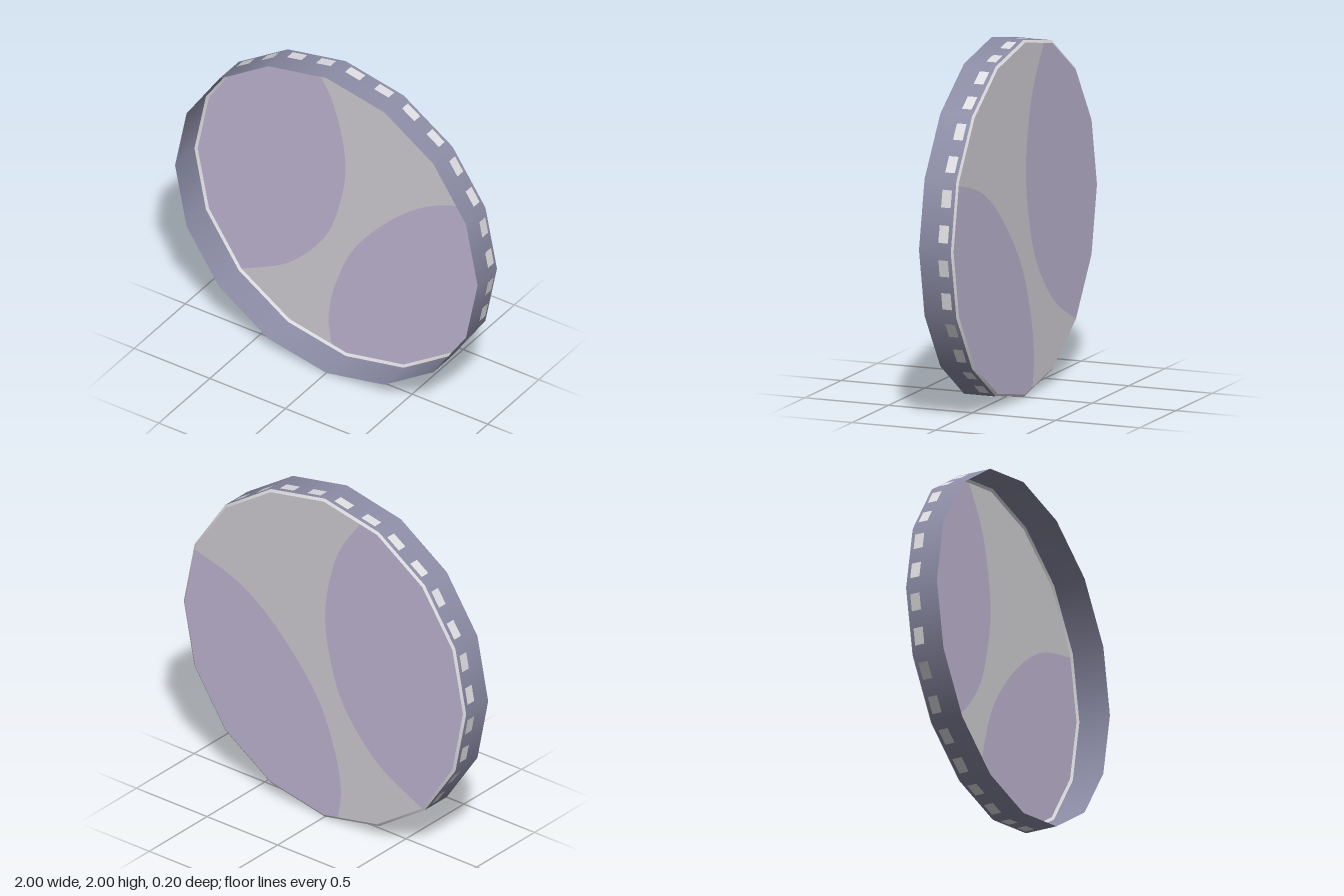
import * as THREE from 'three';

const SIDES = 16;
const SKIN_R = 0.985;
const BACK = -0.1;

const material = (name, color) =>
  new THREE.MeshStandardMaterial({ name, color, side: THREE.DoubleSide });

// point on the polygonal rim; k counts corners anticlockwise, fractions lie along an edge
function rim(k) {
  const corner = (i) => {
    const a = (i / SIDES) * Math.PI * 2;
    return new THREE.Vector2(Math.cos(a) * SKIN_R, Math.sin(a) * SKIN_R);
  };
  const i = Math.floor(k);
  return corner(i).lerp(corner(i + 1), k - i);
}

const rims = (...ks) => ks.map(rim);

// smooth boundary across the skin between two rim points (heights given from the ground)
function boundary(from, points, to) {
  const inner = points.map(([x, y]) => new THREE.Vector2(x, y - 1));
  return new THREE.SplineCurve([rim(from), ...inner, rim(to)]).getPoints(40);
}

export function createModel() {
  const model = new THREE.Group();
  model.name = 'handDrum';

  const frameBlue = material('frame slate blue', 0x8c8ca6);
  const skinGrey = material('skin grey', 0xd2d0d5);
  const skinPurple = material('skin purple', 0xc1b8d5);
  const lightGrey = material('light grey', 0xdedee2);

  // everything is built around the drum axis, then lifted to stand on its edge
  const drum = new THREE.Group();
  drum.name = 'drum';
  drum.position.y = 1;
  model.add(drum);

  const add = (name, geometry, mat) => {
    const mesh = new THREE.Mesh(geometry, mat);
    mesh.name = name;
    drum.add(mesh);
    return mesh;
  };

  // open hoop and the small bevel that holds the skin
  const hoop = new THREE.CylinderGeometry(1, 1, 0.19, SIDES, 1, true);
  hoop.rotateX(Math.PI / 2);
  add('hoop', hoop, frameBlue).position.z = 0.005;

  const bevel = new THREE.CylinderGeometry(1, SKIN_R, 0.01, SIDES, 1, true);
  bevel.rotateX(Math.PI / 2);
  add('skinBevel', bevel, lightGrey).position.z = BACK + 0.005;

  // skin at the back, split into two purple fields and a grey band
  const leftEdge = boundary(4.68, [
    [-0.09, 1.67], [-0.008, 1.28], [-0.07, 0.92], [-0.18, 0.69], [-0.4, 0.46],
  ], 10);
  const rightEdge = boundary(0.95, [
    [0.6, 1.26], [0.33, 1.07], [0.06, 0.76], [-0.07, 0.465], [-0.12, 0.22],
  ], 11.735);

  const skin = (name, points, mat) => {
    add(name, new THREE.ShapeGeometry(new THREE.Shape(points)), mat).position.z = BACK;
  };
  skin('skinFieldRight', [...rims(5, 6, 7, 8, 9), ...leftEdge.slice().reverse()], skinPurple);
  skin('skinFieldLeft', [...rims(12, 13, 14, 15, 16), ...rightEdge], skinPurple);
  skin('skinBand', [
    ...rims(1, 2, 3, 4), ...leftEdge, ...rims(11), ...rightEdge.slice().reverse(),
  ], skinGrey);

  // two pale slots on the outside of every hoop facet
  const apothem = Math.cos(Math.PI / SIDES);
  const facet = 2 * Math.sin(Math.PI / SIDES);
  const slot = new THREE.PlaneGeometry(facet / 4, 0.057);
  slot.rotateX(-Math.PI / 2);
  for (let i = 0; i < SIDES; i++) {
    const pair = new THREE.Group();
    pair.name = 'slotPair';
    pair.rotation.z = ((i + 0.5) / SIDES) * Math.PI * 2;
    for (const side of [-1, 1]) {
      const mesh = new THREE.Mesh(slot, lightGrey);
      mesh.name = 'slot';
      mesh.position.set((side * facet) / 4, apothem + 0.003, -0.041);
      pair.add(mesh);
    }
    drum.add(pair);
  }

  return model;
}
